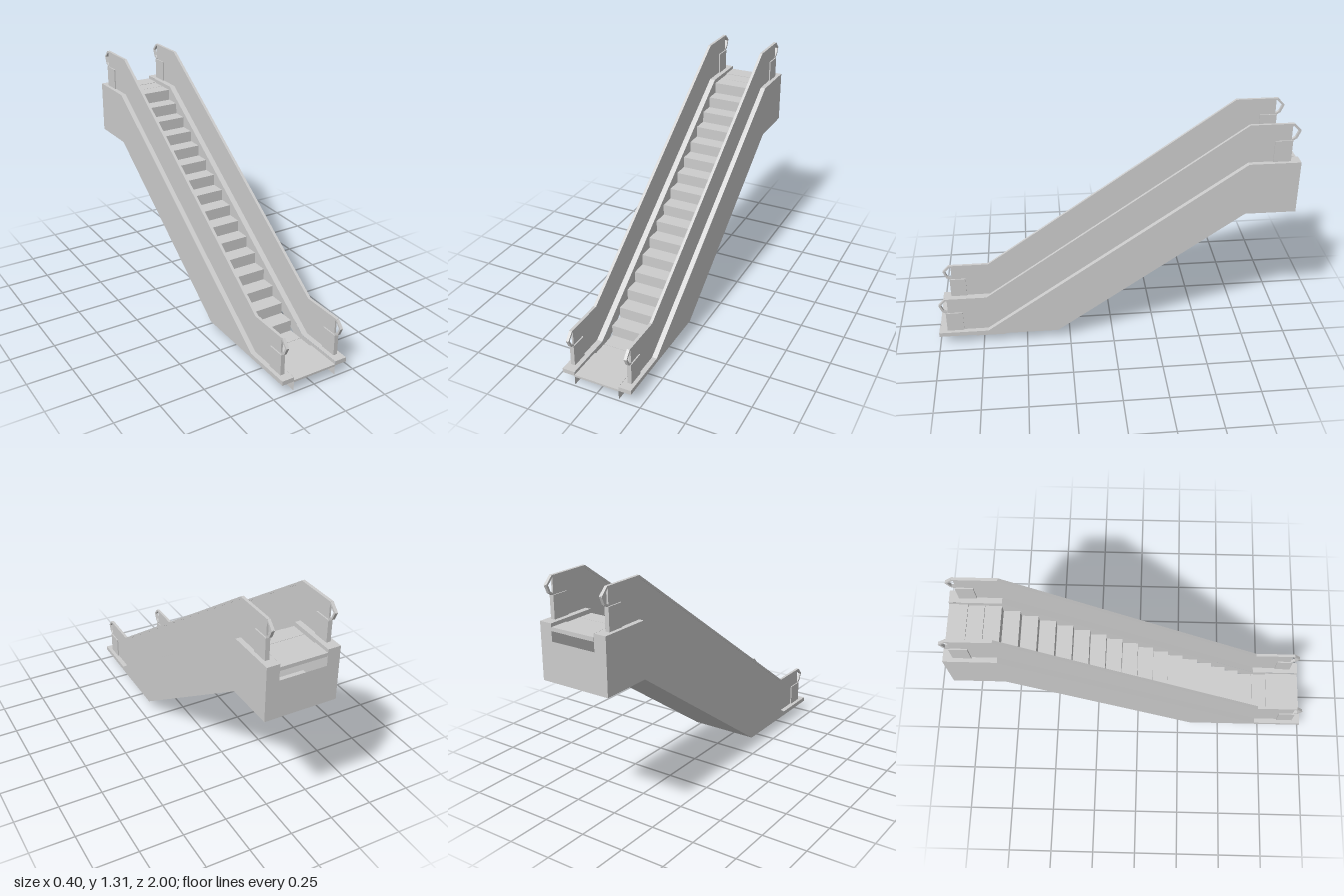
import * as THREE from 'three';

export function createModel() {
  const model = new THREE.Group();
  model.name = 'escalator';
  const grey = new THREE.MeshStandardMaterial({ color: 0xcccccc, side: THREE.DoubleSide, flatShading: true });
  grey.name = 'painted steel grey';

  function add(name, geometry, parent = model) {
    const mesh = new THREE.Mesh(geometry, grey);
    mesh.name = name;
    parent.add(mesh);
    return mesh;
  }
  function box(name, w, h, d, x, y, z, parent) {
    const mesh = add(name, new THREE.BoxGeometry(w, h, d), parent);
    mesh.position.set(x, y, z);
    return mesh;
  }
  const shapeOf = (pts) => new THREE.Shape(pts.map((p) => new THREE.Vector2(p[0], p[1])));

  // Flat sheet with a [z, y] outline, standing at a given x
  function sideSheet(name, pts, x, parent) {
    add(name, new THREE.ShapeGeometry(shapeOf(pts)).rotateY(-Math.PI / 2), parent).position.x = x;
  }
  // Solid plate with a [z, y] outline, centred on a given x
  function sidePlate(name, pts, x, thick, parent) {
    const g = new THREE.ExtrudeGeometry(shapeOf(pts), { depth: thick, bevelEnabled: false });
    add(name, g.rotateY(-Math.PI / 2).translate(thick / 2, 0, 0), parent).position.x = x;
  }
  // Folded sheet following a [z, y] path between two x values
  function foldedSheet(name, path, x0, x1, parent) {
    const pos = [];
    for (let i = 0; i < path.length - 1; i++) {
      const [za, ya] = path[i], [zb, yb] = path[i + 1];
      pos.push(x0, ya, za, x1, ya, za, x1, yb, zb, x0, ya, za, x1, yb, zb, x0, yb, zb);
    }
    const g = new THREE.BufferGeometry();
    g.setAttribute('position', new THREE.Float32BufferAttribute(pos, 3));
    g.computeVertexNormals();
    add(name, g, parent);
  }

  // Key lines in [z, y]
  const deck = [[1, 0.09], [0.72, 0.09], [-0.72, 1.09], [-1, 1.09]];
  const belly = [[0.32, 0.065], [-0.72, 0.79], [-1, 0.79]];
  const railTop = [[0.95, 0.3], [0.715, 0.3], [-0.715, 1.3], [-0.945, 1.3]];

  // Truss casing
  foldedSheet('trussUnderside', belly, 0.2, -0.2);
  add('trussBackWall', new THREE.ShapeGeometry(shapeOf([
    [-0.2, 0.79], [0.2, 0.79], [0.2, 1.09], [0.13, 1.09],
    [0.13, 1.0], [-0.13, 1.0], [-0.13, 1.09], [-0.2, 1.09],
  ])).rotateY(Math.PI)).position.z = -1;

  // Left and right sides
  for (const s of [1, -1]) {
    const side = new THREE.Group();
    side.name = s > 0 ? 'leftSide' : 'rightSide';
    model.add(side);

    sideSheet('outerWall', [...deck, ...[...belly].reverse(), [1, 0.065]], s * 0.2, side);
    const a = s > 0 ? 0.13 : -0.2;
    foldedSheet('deckStrip', deck, a, a + 0.07, side);
    foldedSheet('deckEnd', [[1, 0.065], [1, 0.09]], a, a + 0.07, side);
    const skirtBase = deck.map(([z, y]) => [z, y - 0.08]).reverse();
    sideSheet('skirt', [...deck, ...skirtBase], s * 0.129, side);

    // Balustrade panel with cut-back ends
    const x = s * 0.167;
    sidePlate('balustradePanel', [
      [0.94, 0.295], [0.715, 0.295], [-0.715, 1.295], [-0.94, 1.295],
      [-0.94, 1.09], [-0.72, 1.09], [0.72, 0.09], [0.94, 0.09],
    ], x, 0.01, side);

    // Newel boxes where the handrail enters
    box('lowerNewel', 0.024, 0.12, 0.095, x, 0.15, 0.905, side);
    box('upperNewel', 0.024, 0.12, 0.095, x, 1.15, -0.9, side);

    // Handrail with a folded loop at each end
    const rail = [
      [0.945, 0.212], [0.967, 0.225], [0.983, 0.264], ...railTop,
      [-0.981, 1.264], [-0.964, 1.225], [-0.942, 1.212],
    ];
    for (let i = 0; i < rail.length - 1; i++) {
      const dz = rail[i + 1][0] - rail[i][0], dy = rail[i + 1][1] - rail[i][1];
      const seg = box('handrailSegment', 0.016, 0.011, Math.hypot(dz, dy) + 0.004, x,
        (rail[i][1] + rail[i + 1][1]) / 2, (rail[i][0] + rail[i + 1][0]) / 2, side);
      seg.rotation.x = Math.atan2(-dy, dz);
    }
  }

  // Steps: two level at each end, the rest climbing
  const pitch = 1.7 / 19, rise = 0.0627;
  for (let i = 0; i < 19; i++) {
    const level = Math.min(Math.max(i - 1, 0), 16);
    box('step', 0.25, 0.067, pitch - 0.002, 0, 0.0335 + level * rise, 0.8 - (i + 0.5) * pitch);
  }

  // Landing plates
  box('lowerLanding', 0.258, 0.012, 0.2, 0, 0.066, 0.9);
  box('upperLanding', 0.258, 0.02, 0.1, 0, 1.062, -0.95);

  return model;
}
